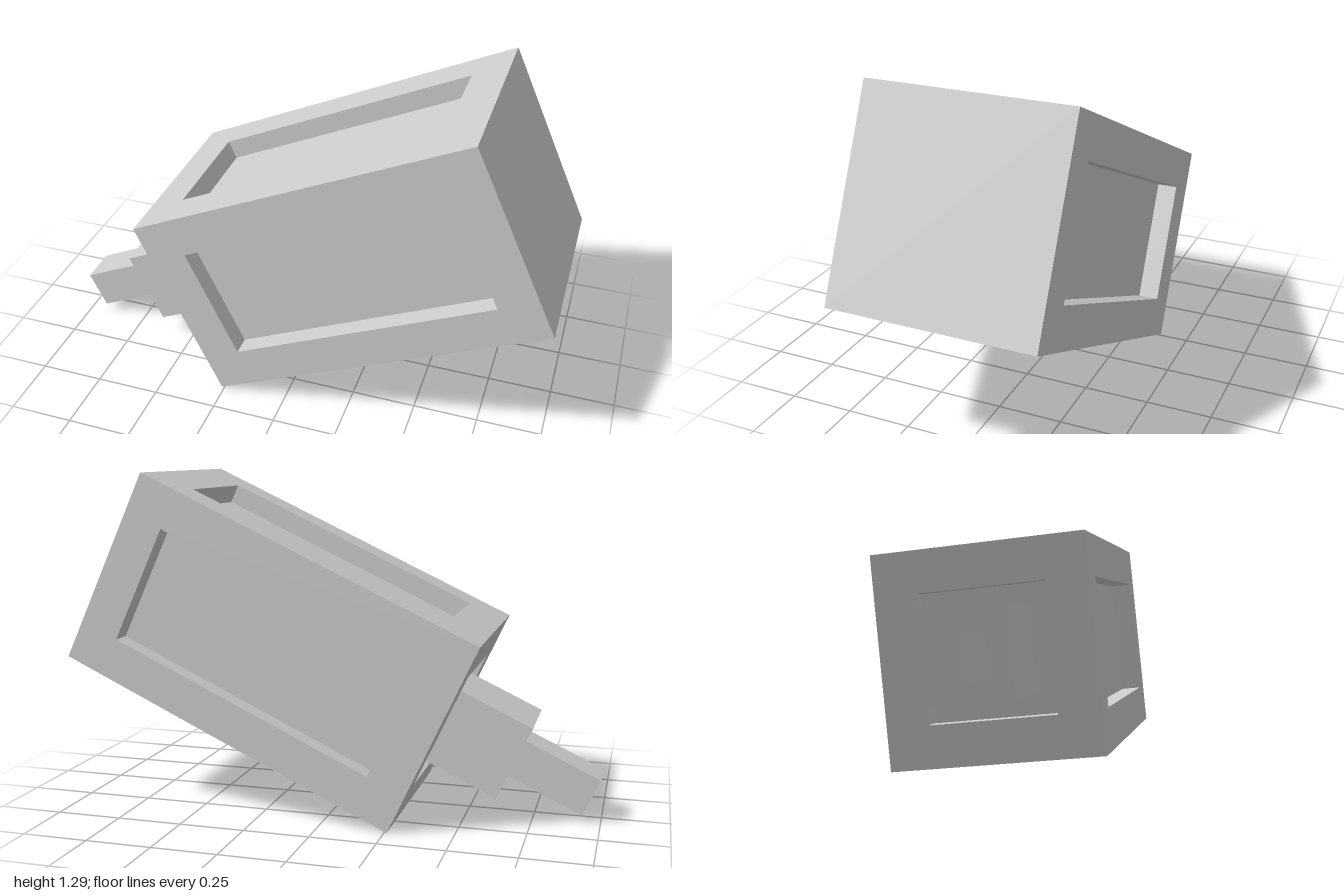
import * as THREE from 'three';
import { mergeGeometries } from 'three/addons/utils/BufferGeometryUtils.js';

const L = 1.39, S = 0.772;        // body length and square section
const RIM = 0.154, DEPTH = 0.077; // frame width and recess depth

// Flat face in the xy plane facing +z, with a sunken rectangular recess
function recessedPanel(w, h) {
  const rect = (path, a, b) => path.moveTo(-a, -b).lineTo(a, -b).lineTo(a, b).lineTo(-a, b).closePath();
  const iw = w - 2 * RIM, ih = h - 2 * RIM;
  const shape = rect(new THREE.Shape(), w / 2, h / 2);
  shape.holes.push(rect(new THREE.Path(), iw / 2, ih / 2));
  const parts = [
    new THREE.ShapeGeometry(shape),
    new THREE.PlaneGeometry(iw, ih).translate(0, 0, -DEPTH),
  ];
  // recess walls, facing inward
  for (const s of [-1, 1]) {
    parts.push(new THREE.PlaneGeometry(DEPTH, ih).rotateY(-s * Math.PI / 2).translate(s * iw / 2, 0, -DEPTH / 2));
    parts.push(new THREE.PlaneGeometry(iw, DEPTH).rotateX(s * Math.PI / 2).translate(0, s * ih / 2, -DEPTH / 2));
  }
  return mergeGeometries(parts);
}

export function createModel() {
  const grey = new THREE.MeshStandardMaterial({ color: 0xcccccc });
  grey.name = 'light grey';
  const model = new THREE.Group();
  model.name = 'tiltedBlock';
  const tilted = new THREE.Group();
  tilted.name = 'tiltedAssembly';
  tilted.rotation.z = THREE.MathUtils.degToRad(25);
  tilted.position.set(0.207, 0.644, 0);
  model.add(tilted);

  const add = (name, geometry) => {
    const mesh = new THREE.Mesh(geometry, grey);
    mesh.name = name;
    tilted.add(mesh);
  };

  // Body: four recessed faces, plain bottom and plain far end
  const q = Math.PI / 2;
  add('frontPanel', recessedPanel(L, S).translate(0, 0, S / 2));
  add('backPanel', recessedPanel(L, S).translate(0, 0, S / 2).rotateY(Math.PI));
  add('topPanel', recessedPanel(L, S).translate(0, 0, S / 2).rotateX(-q));
  add('stemEndPanel', recessedPanel(S, S).translate(0, 0, L / 2).rotateY(-q));
  add('bottomFace', new THREE.PlaneGeometry(L, S).translate(0, 0, S / 2).rotateX(q));
  add('farEndFace', new THREE.PlaneGeometry(S, S).translate(0, 0, L / 2).rotateY(q));

  // Stepped stem leaving the recessed end
  const bar = (name, from, to, size) =>
    add(name, new THREE.BoxGeometry(from - to, size, size).translate((from + to) / 2, 0, 0));
  bar('stem', -L / 2 + DEPTH, -0.985, 0.306);
  bar('stemTip', -0.985, -1.293, 0.154);

  return model;
}
